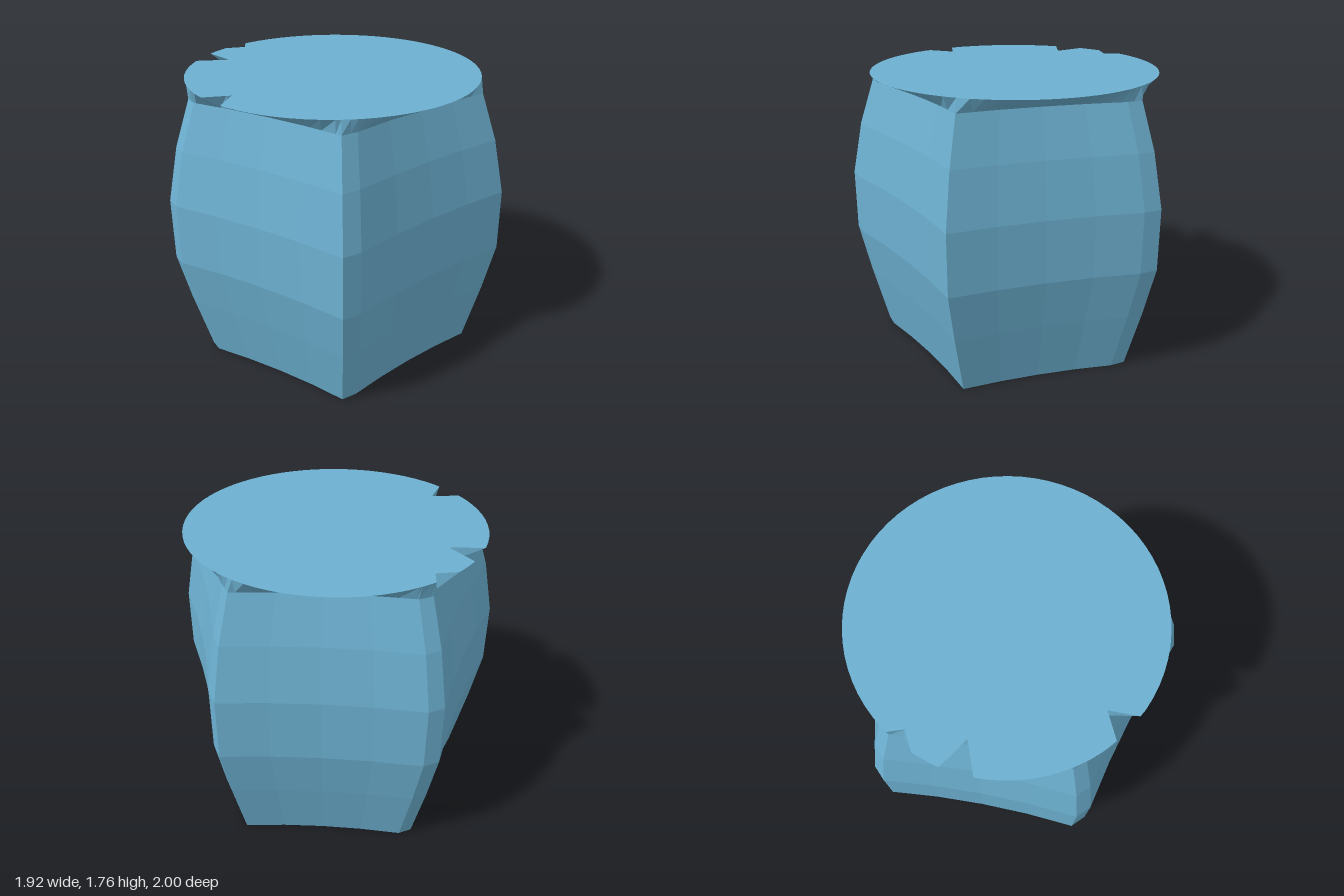
import * as THREE from 'three';

const material = new THREE.MeshStandardMaterial({ color: 0x6cb0d0, flatShading: true, side: THREE.DoubleSide });
const V = (x, z) => new THREE.Vector2(x, z);
const BODY_X = -0.07; // axis of the body
const LID = V(-0.09, 0); // centre of the round lid
const LID_R = 0.875;
const BODY_TOP = 1.68, LID_Y = 1.76;

// Five-cornered plan at the belly: four clipped corners, one sharp, sides slightly hollow
function bodyPlan() {
  const half = [[0.29, 0.92], [0.21, 1], [-0.88, 0.64], [-0.95, 0.57]];
  const corners = [[0.96, 0], ...half, ...half.map(([x, z]) => [x, -z]).reverse()].map(([x, z]) => V(x, z));
  const ring = [];
  corners.forEach((a, i) => {
    const b = corners[(i + 1) % corners.length];
    const steps = a.distanceTo(b) > 0.3 ? 4 : 1;
    const inward = V(a.y - b.y, b.x - a.x).normalize();
    for (let k = 0; k < steps; k++) {
      const t = k / steps;
      ring.push(a.clone().lerp(b, t).addScaledVector(inward, 0.12 * t * (1 - t)));
    }
  });
  return ring;
}

// Lid outline: a circle broken by three chipped notches
function lidOutline() {
  const notches = [
    [V(-0.5, 0.77), V(-0.5, 0.6), V(-0.65, 0.67)],
    [V(-0.965, 0), V(-0.78, -0.07), V(-0.946, -0.18)],
    [V(-0.9, -0.33), V(-0.79, -0.39), V(-0.82, -0.48)],
  ];
  const ranges = notches.map((n) => [angle(n[0]), angle(n[2])]);
  const points = notches.flat();
  for (let i = 0; i < 72; i++) {
    const a = (i / 72) * Math.PI * 2;
    if (!ranges.some(([lo, hi]) => a > lo - 0.01 && a < hi + 0.01)) {
      points.push(V(LID.x + LID_R * Math.cos(a), LID_R * Math.sin(a)));
    }
  }
  return points.sort((p, q) => angle(p) - angle(q));
}

function angle(p) {
  const a = Math.atan2(p.y - LID.y, p.x - LID.x);
  return a < -1e-9 ? a + Math.PI * 2 : a;
}

// Point where the ray from the lid centre at an angle meets a closed outline
function hit(outline, a) {
  const d = V(Math.cos(a), Math.sin(a));
  for (let i = 0; i < outline.length; i++) {
    const p = outline[i].clone().sub(LID);
    const e = outline[(i + 1) % outline.length].clone().sub(outline[i]);
    const den = d.cross(e);
    if (Math.abs(den) < 1e-9) continue;
    const r = p.cross(e) / den, t = p.cross(d) / den;
    if (r > 0 && t > -1e-6 && t < 1 + 1e-6) return LID.clone().addScaledVector(d, r);
  }
  return LID.clone();
}

// Skin between rings that share a point count
function loft(rings) {
  const n = rings[0].points.length;
  const positions = rings.flatMap(({ y, points }) => points.flatMap((p) => [p.x, y, p.y]));
  const index = [];
  for (let r = 0; r < rings.length - 1; r++) {
    for (let i = 0; i < n; i++) {
      const a = r * n + i, b = r * n + ((i + 1) % n);
      index.push(a, a + n, b, b, a + n, b + n);
    }
  }
  const geometry = new THREE.BufferGeometry();
  geometry.setAttribute('position', new THREE.Float32BufferAttribute(positions, 3));
  geometry.setIndex(index);
  geometry.computeVertexNormals();
  return geometry;
}

// Flat horizontal face, facing up or down
function plate(points, y, up) {
  const s = up ? -1 : 1;
  const geometry = new THREE.ShapeGeometry(new THREE.Shape(points.map((p) => V(p.x, s * p.y))));
  return geometry.rotateX((s * Math.PI) / 2).translate(0, y, 0);
}

export function createModel() {
  const group = new THREE.Group();
  const add = (name, geometry) => {
    const mesh = new THREE.Mesh(geometry, material);
    mesh.name = name;
    group.add(mesh);
  };

  // Bulging body: height and scale of each ring
  const plan = bodyPlan();
  const profile = [[0, 0.83], [0.38, 0.93], [0.69, 1], [1.07, 1], [1.4, 0.935], [BODY_TOP, 0.845]];
  const rings = profile.map(([y, s]) => ({
    y, points: plan.map((p) => V(BODY_X + (p.x - BODY_X) * s, p.y * s)),
  }));
  add('body', loft(rings));
  add('base', plate(rings[0].points, 0, false));

  // Collar flaring from the five-sided body to the round lid
  const lid = lidOutline();
  const top = rings[rings.length - 1].points;
  const angles = [...lid, ...top].map(angle).sort((a, b) => a - b)
    .filter((a, i, all) => i === 0 || a - all[i - 1] > 1e-4);
  add('collar', loft([
    { y: BODY_TOP, points: angles.map((a) => hit(top, a)) },
    { y: LID_Y, points: angles.map((a) => hit(lid, a)) },
  ]));
  add('lid', plate(lid, LID_Y, true));
  return group;
}
